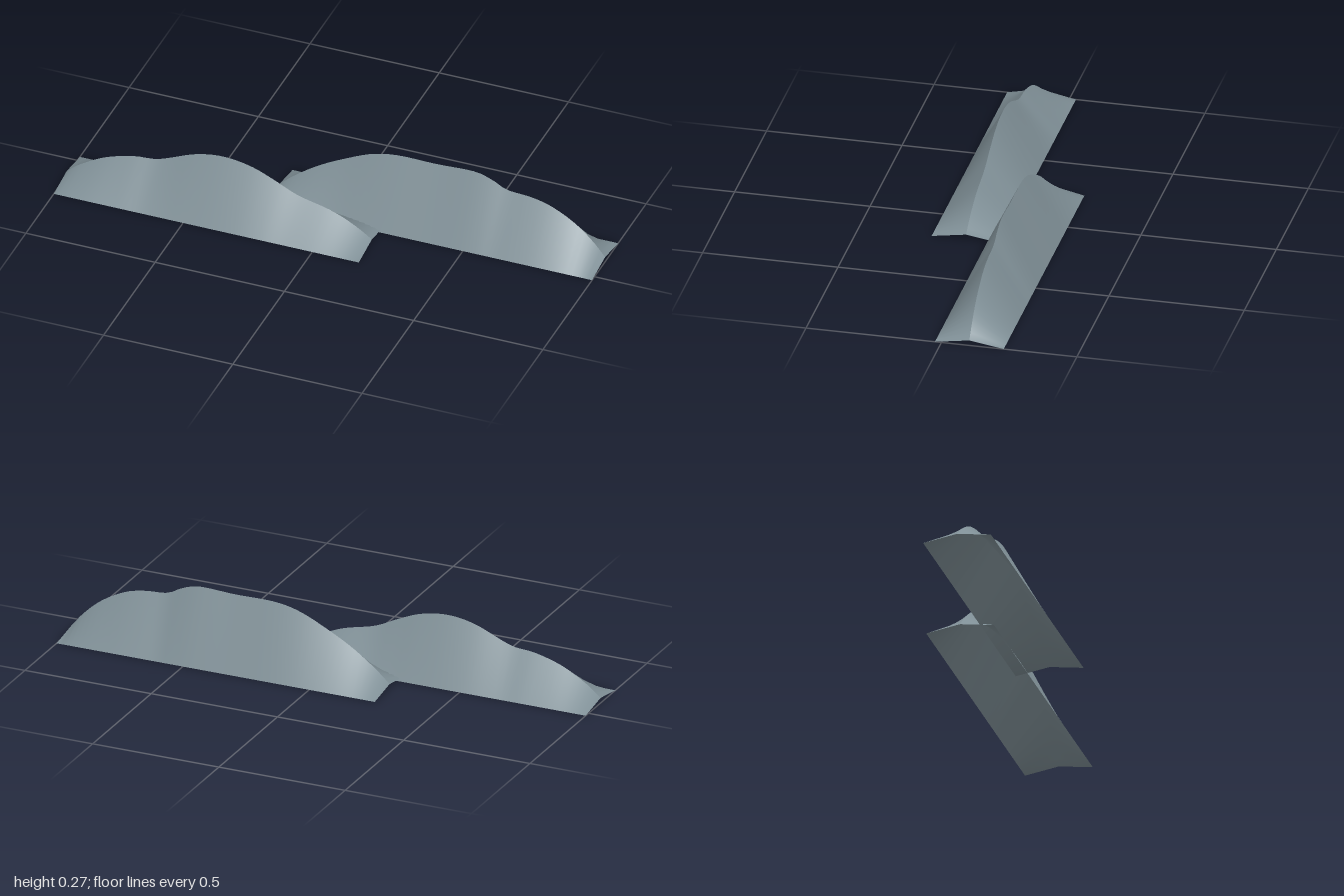
import * as THREE from 'three';

const HALF_DEPTH = 0.127;
const SEGMENTS = 48;

// One slope: a sheet from the straight foot up to the wavy ridge line
function slope(ridge, centreZ, side, material) {
  const positions = [];
  const index = [];
  ridge.forEach((p, i) => {
    positions.push(p.x, 0, centreZ + side * HALF_DEPTH, p.x, p.y, centreZ);
    if (i === 0) return;
    const a = 2 * (i - 1), b = a + 1, c = a + 2, d = a + 3;
    if (side > 0) index.push(a, c, d, a, d, b);
    else index.push(a, d, c, a, b, d);
  });
  const geometry = new THREE.BufferGeometry();
  geometry.setAttribute('position', new THREE.Float32BufferAttribute(positions, 3));
  geometry.setIndex(index);
  geometry.computeVertexNormals();
  const mesh = new THREE.Mesh(geometry, material);
  mesh.name = side > 0 ? 'frontSlope' : 'backSlope';
  return mesh;
}

// A hill: two slopes meeting in a sharp ridge, open at the ends and below
function hill(name, profile, centreZ, material) {
  const curve = new THREE.SplineCurve(profile.map(([x, y]) => new THREE.Vector2(x, y)));
  const ridge = curve.getSpacedPoints(SEGMENTS);
  const group = new THREE.Group();
  group.name = name;
  for (const side of [1, -1]) group.add(slope(ridge, centreZ, side, material));
  return group;
}

export function createModel() {
  const stone = new THREE.MeshStandardMaterial({ color: 0x7f8f96, side: THREE.DoubleSide });
  stone.name = 'blue grey stone';

  const model = new THREE.Group();
  model.name = 'hills';

  // Ridge profiles as [x, height]
  model.add(hill('frontHill', [
    [-1, 0.02], [-0.945, 0.064], [-0.85, 0.117], [-0.743, 0.149], [-0.663, 0.157],
    [-0.61, 0.174], [-0.5, 0.219], [-0.395, 0.235], [-0.29, 0.22], [-0.2, 0.184],
    [-0.107, 0.14], [0.02, 0.107], [0.11, 0.066], [0.18, 0.02],
  ], 0.103, stone));

  model.add(hill('backHill', [
    [-0.26, 0.02], [-0.2, 0.073], [-0.107, 0.139], [0, 0.197], [0.1, 0.241],
    [0.2, 0.26], [0.35, 0.26], [0.49, 0.265], [0.56, 0.247], [0.62, 0.217],
    [0.71, 0.209], [0.79, 0.189], [0.88, 0.14], [0.95, 0.079], [1, 0.02],
  ], -0.103, stone));

  return model;
}
